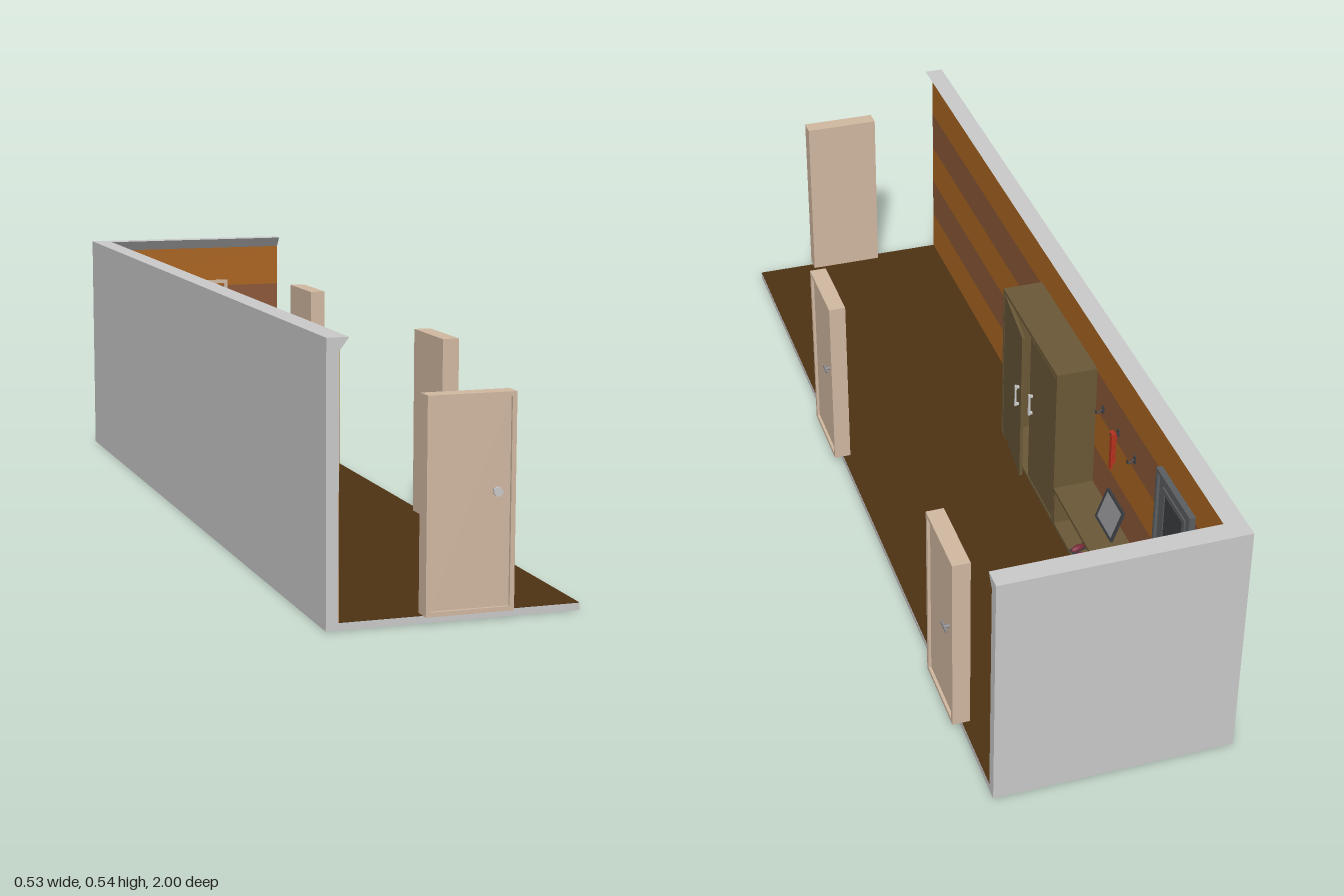
import * as THREE from 'three';

const mat = (color) => new THREE.MeshStandardMaterial({ color });
const GREY = mat(0xcccccc), ORANGE = mat(0xac6620), BROWN = mat(0x8d5838), CREAM = mat(0xd3baa2);
const OLIVE = mat(0x6b5938), FLOOR = mat(0x4f3313), DARK = mat(0x5c5f62), SLATE = mat(0x3c3f42);
const RED = mat(0xb8321e), BLUE = mat(0x4a45a0), METAL = mat(0x8c8c90), MAROON = mat(0x7a2a3a);

function add(parent, name, geometry, material, x = 0, y = 0, z = 0) {
  const m = new THREE.Mesh(geometry, material);
  m.name = name;
  m.position.set(x, y, z);
  parent.add(m);
  return m;
}

// Box given by its limits on each axis
function span(parent, name, material, x0, x1, y0, y1, z0, z1) {
  return add(parent, name, new THREE.BoxGeometry(x1 - x0, y1 - y0, z1 - z0), material,
    (x0 + x1) / 2, (y0 + y1) / 2, (z0 + z1) / 2);
}

// Rectangular frame standing on y = 0, extruded toward +z
function frame(w, h, border, depth) {
  const rect = (T, x, y) => {
    const p = new T();
    p.moveTo(-x, y); p.lineTo(x, y); p.lineTo(x, h - y); p.lineTo(-x, h - y); p.closePath();
    return p;
  };
  const shape = rect(THREE.Shape, w / 2, 0);
  shape.holes.push(rect(THREE.Path, w / 2 - border, border));
  return new THREE.ExtrudeGeometry(shape, { depth, bevelEnabled: false });
}

function group(parent, name, x, y, z, turn = 0) {
  const g = new THREE.Group();
  g.name = name;
  g.position.set(x, y, z);
  g.rotation.y = turn;
  parent.add(g);
  return g;
}

// Framed door facing local +z, with a recessed leaf
function door(parent, name, x, z, turn, depth, material, round = false) {
  const w = 0.174, h = 0.41, g = group(parent, name, x, 0.015, z, turn);
  add(g, 'doorFrame', frame(w, h, 0.009, depth), material);
  const leaf = depth - 0.006;
  span(g, 'doorLeaf', material, -w / 2 + 0.009, w / 2 - 0.009, 0.009, h - 0.009, 0, leaf);
  const rod = add(g, 'handleStem', new THREE.CylinderGeometry(0.004, 0.004, 0.016, 12), METAL, 0.048, 0.228, leaf + 0.005);
  rod.rotation.x = Math.PI / 2;
  if (round) {
    const knob = add(g, 'knob', new THREE.CylinderGeometry(0.009, 0.009, 0.005, 20), GREY, 0.048, 0.228, leaf + 0.016);
    knob.rotation.x = Math.PI / 2;
  } else {
    span(g, 'lever', METAL, 0.032, 0.064, 0.225, 0.231, leaf + 0.009, leaf + 0.013);
  }
  return g;
}

// Open-fronted case against the left wall, opening toward +x
function openCase(parent, name, z0, z1, height) {
  const w = z1 - z0, g = group(parent, name, -0.24, 0.015, (z0 + z1) / 2, Math.PI / 2);
  add(g, 'caseSides', frame(w, height, 0.008, 0.092), OLIVE);
  span(g, 'caseBack', OLIVE, -w / 2 + 0.008, w / 2 - 0.008, 0.008, height - 0.008, 0, 0.005);
  return g;
}

// Cupboard leaf hinged at its local x = 0, with a bracket handle
function leafDoor(parent, name, length, dir, angle, x) {
  const g = group(parent, name, x, 0.01, 0.084, angle);
  span(g, 'leaf', OLIVE, dir > 0 ? 0 : -length, dir > 0 ? length : 0, 0, 0.38, 0, 0.007);
  const hx = dir * (length - 0.02);
  span(g, 'handleGrip', GREY, hx - 0.003, hx + 0.003, 0.185, 0.24, 0.013, 0.017);
  for (const y of [0.187, 0.233]) span(g, 'handlePost', GREY, hx - 0.003, hx + 0.003, y, y + 0.005, 0.006, 0.014);
}

export function createModel() {
  const room = new THREE.Group();
  room.name = 'hallway';

  // Floor slab and outer walls
  span(room, 'floorSlab', GREY, -0.265, 0.235, 0, 0.014, -1, 0.97);
  span(room, 'floorSurface', FLOOR, -0.24, 0.2345, 0.013, 0.015, -0.975, 0.9695);
  span(room, 'leftWall', GREY, -0.265, -0.241, 0.014, 0.535, -1, 0.97);
  span(room, 'backWall', GREY, -0.241, 0.235, 0.014, 0.535, -1, -0.976);

  // Horizontal wall bands
  const levels = [0.015, 0.113, 0.213, 0.312, 0.41, 0.511];
  for (let i = 0; i < 5; i++) {
    const m = i % 2 ? BROWN : ORANGE;
    span(room, 'leftWallBand', m, -0.242, -0.24, levels[i], levels[i + 1], -0.975, 0.9695);
    span(room, 'backWallBand', m, -0.241, 0.2345, levels[i], levels[i + 1], -0.977, -0.975);
  }

  // Sloping crown moulding along both walls
  const crown = (length) => {
    const s = new THREE.Shape();
    s.moveTo(-0.001, 0.511); s.lineTo(0, 0.511); s.lineTo(0.018, 0.535); s.lineTo(-0.001, 0.535);
    return new THREE.ExtrudeGeometry(s, { depth: length, bevelEnabled: false });
  };
  add(room, 'leftCrown', crown(1.945), GREY, -0.24, 0, -0.975);
  const backCrown = add(room, 'backCrown', crown(0.475), GREY, 0.235, 0, -0.975);
  backCrown.rotation.y = -Math.PI / 2;

  // Doors
  const Q = Math.PI / 2;
  door(room, 'frontDoor', 0.008, 0.95, 0, 0.037, CREAM, true);
  door(room, 'backDoor', 0.008, -0.984, 0, 0.014, CREAM);
  for (const z of [0.212, -0.712]) door(room, 'sideDoor', 0.218, z, Q, 0.037, CREAM);
  const glazed = door(room, 'glazedDoor', -0.243, -0.712, Q, 0.016, DARK);
  add(glazed, 'paneFrame', frame(0.115, 0.33, 0.012, 0.003), DARK, 0, 0.05, 0.01);
  span(glazed, 'pane', SLATE, -0.046, 0.046, 0.06, 0.37, 0.009, 0.011);

  // Wardrobe with one leaf ajar
  const wardrobe = openCase(room, 'wardrobe', -0.255, 0.108, 0.402);
  leafDoor(wardrobe, 'ajarLeaf', 0.18, 1, -0.11, -0.173);
  leafDoor(wardrobe, 'closedLeaf', 0.165, -1, 0, 0.173);

  // Low shoe bench
  openCase(room, 'shoeBench', -0.525, -0.256, 0.1);

  // Pairs of shoes: a rounded toe, a sole and a heel cup
  const shoe = (x, z, material, turn) => {
    const g = group(room, 'shoe', x, 0.023, z, turn);
    span(g, 'sole', SLATE, -0.026, 0.026, -0.001, 0.003, -0.008, 0.008);
    const toe = add(g, 'toe', new THREE.SphereGeometry(1, 14, 8, 0, Math.PI * 2, 0, Math.PI / 2), material, 0.008, 0.003, 0);
    toe.scale.set(0.018, 0.009, 0.008);
    const heel = add(g, 'heel', new THREE.CylinderGeometry(0.007, 0.008, 0.015, 12), material, -0.016, 0.01, 0);
    heel.scale.x = 1.2;
  };
  shoe(-0.175, -0.365, MAROON, 0.3);
  shoe(-0.175, -0.395, MAROON, -0.2);
  shoe(-0.143, -0.44, BLUE, 0.25);
  shoe(-0.15, -0.475, BLUE, 0.6);
  shoe(-0.175, -0.5, BLUE, 0);

  // Framed mirror leaning on the bench
  const mirror = group(room, 'leaningMirror', -0.205, 0.116, -0.425, Q);
  mirror.rotation.set(0, Q, 0);
  const tilt = group(mirror, 'mirrorTilt', 0, 0, 0);
  tilt.rotation.x = -0.35;
  add(tilt, 'mirrorFrame', frame(0.095, 0.076, 0.005, 0.006), SLATE);
  span(tilt, 'mirrorGlass', METAL, -0.043, 0.043, 0.005, 0.071, 0, 0.004);

  // Coat hooks
  for (const z of [-0.3, -0.39, -0.487]) {
    const curve = new THREE.CatmullRomCurve3([[-0.24, 0.343], [-0.229, 0.336], [-0.224, 0.334], [-0.221, 0.345]]
      .map(([x, y]) => new THREE.Vector3(x, y, z)));
    add(room, 'coatHook', new THREE.TubeGeometry(curve, 12, 0.002, 8), SLATE);
    span(room, 'hookPlate', SLATE, -0.241, -0.237, 0.332, 0.35, z - 0.004, z + 0.004);
  }

  // Red scarf folded over the middle hook
  span(room, 'scarfFront', RED, -0.226, -0.221, 0.255, 0.34, -0.4, -0.389);
  span(room, 'scarfBack', RED, -0.234, -0.229, 0.265, 0.34, -0.394, -0.383);
  const fold = add(room, 'scarfFold', new THREE.CylinderGeometry(0.0065, 0.0065, 0.017, 12), RED, -0.2275, 0.34, -0.3915);
  fold.rotation.x = Q;

  // Light switch
  span(room, 'switchPlate', GREY, -0.241, -0.237, 0.222, 0.26, -0.895, -0.873);
  span(room, 'switchRocker', METAL, -0.238, -0.234, 0.232, 0.25, -0.889, -0.879);

  return room;
}
